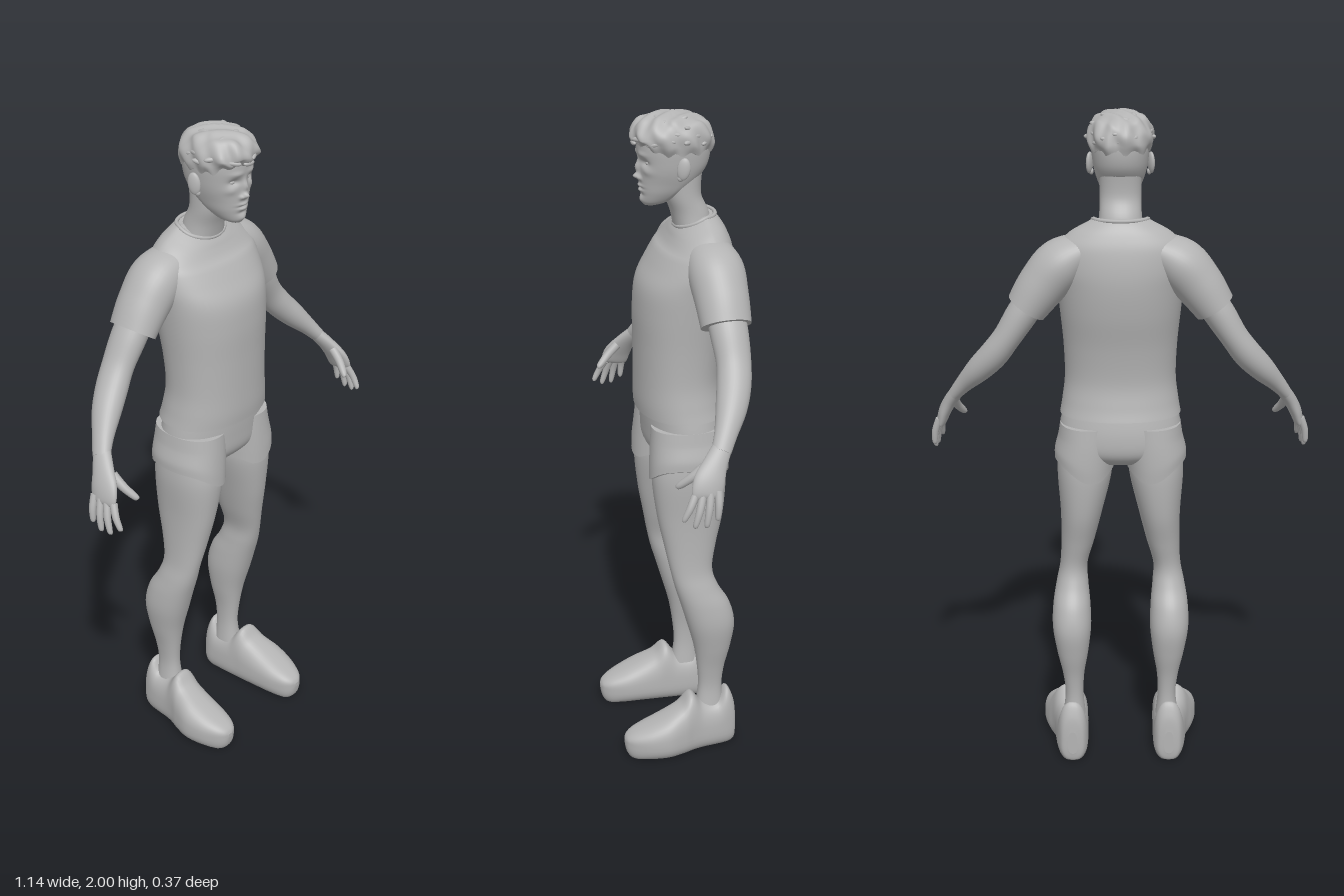
import * as THREE from 'three';

const V = (x, y, z) => new THREE.Vector3(x, y, z);
const UP = V(0, 1, 0), DOWN = V(0, -1, 0), FRONT = V(0, 0, 1);
const grey = new THREE.MeshStandardMaterial({ color: 0xb4b4b4 });
grey.name = 'plain grey';

function add(group, name, geometry) {
  const mesh = new THREE.Mesh(geometry, grey);
  mesh.name = name;
  group.add(mesh);
  return mesh;
}

// Smooth interpolation of whole section rows
function blend(rows, i, t) {
  const at = k => rows[Math.min(rows.length - 1, Math.max(0, k))];
  const [a, b, c, d] = [at(i - 1), at(i), at(i + 1), at(i + 2)];
  return b.map((_, k) => b[k] + 0.5 * t * (c[k] - a[k] + t * (2 * a[k] - 5 * b[k] + 4 * c[k] - d[k]
    + t * (3 * (b[k] - c[k]) + d[k] - a[k]))));
}

// Closed loft. Row: [x, y, z, half width, extent along B, extent against B, roundness]
function loft(rows, { s = 1, T = null, B = FRONT, seg = 32, sub = 6, deform = null } = {}) {
  const list = [];
  for (let i = 0; i < rows.length - 1; i++)
    for (let k = 0; k < sub; k++) list.push(blend(rows, i, k / sub));
  list.push(rows[rows.length - 1]);
  const centre = list.map(r => V(s * r[0], r[1], r[2]));
  const pos = [], index = [];
  const ring = (i, size) => {
    const t = T || centre[Math.min(i + 1, list.length - 1)].clone().sub(centre[Math.max(i - 1, 0)]).normalize();
    const b = B.clone().addScaledVector(t, -B.dot(t)).normalize();
    const a = b.clone().cross(t);
    const [, , , w, f, r, n = 2] = list[i];
    for (let j = 0; j < seg; j++) {
      const u = j / seg * Math.PI * 2, c = Math.cos(u), d = Math.sin(u);
      const round = v => Math.sign(v) * Math.pow(Math.abs(v), 2 / n);
      const p = centre[i].clone().addScaledVector(a, size * w * round(c))
        .addScaledVector(b, size * (d > 0 ? f : r) * round(d));
      if (deform) deform(p);
      pos.push(p.x, p.y, p.z);
    }
  };
  ring(0, 0);
  ring(0, 1);
  list.forEach((_, i) => ring(i, 1));
  ring(list.length - 1, 1);
  ring(list.length - 1, 0);
  for (let i = 0; i < list.length + 3; i++)
    for (let j = 0; j < seg; j++) {
      const p = i * seg + j, q = i * seg + (j + 1) % seg;
      index.push(p, q, p + seg, q, q + seg, p + seg);
    }
  const g = new THREE.BufferGeometry();
  g.setAttribute('position', new THREE.Float32BufferAttribute(pos, 3));
  g.setIndex(index);
  g.computeVertexNormals();
  return g;
}

// Horizontal row from front and back z limits
const level = (x, y, w, zf, zb, n = 2.2, zc = (zf + zb) / 2) => [x, y, zc, w, zf - zc, zc - zb, n];

function ball(group, name, p, scale) {
  const m = add(group, name, new THREE.SphereGeometry(1, 20, 14));
  m.position.set(...p);
  m.scale.set(...scale);
  return m;
}

export function createModel() {
  const model = new THREE.Group();
  model.name = 'standingMan';

  // Shirt body, with the neckline dipping at the front
  const dip = p => {
    if (p.y > 1.6) p.y -= Math.max(0, p.z + 0.09) * 0.5 * (p.y - 1.6) / 0.1;
  };
  add(model, 'shirt', loft([
    level(0, 1.11, 0.18, 0.097, -0.165), level(0, 1.15, 0.173, 0.1, -0.155),
    level(0, 1.22, 0.165, 0.1, -0.145), level(0, 1.32, 0.168, 0.1, -0.155),
    level(0, 1.42, 0.177, 0.1, -0.175), level(0, 1.5, 0.185, 0.09, -0.185),
    level(0, 1.56, 0.192, 0.057, -0.185), level(0, 1.62, 0.185, 0.018, -0.176),
    level(0, 1.66, 0.15, 0, -0.162), level(0, 1.685, 0.11, -0.01, -0.148),
    level(0, 1.7, 0.082, -0.02, -0.135)], { T: UP, seg: 64, deform: dip }));
  const collar = [];
  for (let i = 0; i < 24; i++) {
    const u = i / 24 * Math.PI * 2;
    const p = V(0.08 * Math.cos(u), 1.7, -0.078 + 0.058 * Math.sin(u));
    dip(p);
    collar.push(p);
  }
  add(model, 'collar', new THREE.TubeGeometry(new THREE.CatmullRomCurve3(collar, true), 64, 0.006, 8, true));

  // Shorts seat
  add(model, 'shortsSeat', loft([
    level(0, 1.14, 0.168, 0.08, -0.14), level(0, 1.06, 0.182, 0.077, -0.155),
    level(0, 1.0, 0.18, 0.07, -0.152), level(0, 0.965, 0.12, 0.04, -0.12),
    level(0, 0.955, 0.06, 0.01, -0.08)], { T: DOWN, seg: 48 }));

  // Neck
  add(model, 'neck', loft([
    level(0, 1.62, 0.075, -0.025, -0.13), level(0, 1.7, 0.062, -0.01, -0.12),
    level(0, 1.76, 0.06, 0.01, -0.095), level(0, 1.84, 0.062, 0.02, -0.1)], { T: UP }));

  // Head with face modelled by soft bumps: [x, y, width, height, depth]
  const bumps = [
    [0, 1.842, 0.008, 0.018, 0.012], [0, 1.816, 0.009, 0.009, 0.018], [0.013, 1.812, 0.006, 0.006, 0.007],
    [0.032, 1.859, 0.016, 0.01, -0.011], [0.03, 1.883, 0.02, 0.007, 0.004], [0.045, 1.835, 0.014, 0.011, 0.004],
    [0, 1.79, 0.018, 0.004, 0.006], [0, 1.776, 0.015, 0.004, 0.006], [0, 1.783, 0.02, 0.002, -0.004],
    [0, 1.764, 0.018, 0.005, -0.004], [0, 1.748, 0.015, 0.008, 0.004]];
  const face = p => {
    if (p.z < 0.015) return;
    const fade = Math.min(1, (p.z - 0.015) / 0.03);
    let d = 0;
    for (const [x, y, w, h, k] of bumps)
      d += k * Math.exp(-(((Math.abs(p.x) - x) / w) ** 2) - ((p.y - y) / h) ** 2);
    p.z += d * fade;
  };
  add(model, 'head', loft([
    level(0, 1.732, 0.018, 0.07, 0.03, 2, 0.05), level(0, 1.743, 0.036, 0.078, 0, 2.1, 0.03),
    level(0, 1.77, 0.055, 0.081, -0.035, 2.2, 0.005), level(0, 1.8, 0.067, 0.083, -0.078, 2.2, -0.01),
    level(0, 1.83, 0.076, 0.084, -0.105, 2.2, -0.01), level(0, 1.86, 0.081, 0.086, -0.118, 2.2, -0.01),
    level(0, 1.9, 0.084, 0.09, -0.122, 2.2, -0.01), level(0, 1.94, 0.08, 0.085, -0.115, 2.2, -0.01),
    level(0, 1.97, 0.055, 0.055, -0.08, 2, -0.01)], { T: UP, seg: 128, sub: 10, deform: face }));

  // Tousled hair: lumpy cap plus loose locks
  const lumps = p => {
    const a = Math.atan2(p.x, p.z);
    const low = THREE.MathUtils.clamp((1.93 - p.y) / 0.045, 0, 1);
    const k = 1 + 0.03 * Math.sin(a * 9 + p.y * 70) + 0.025 * Math.sin(p.x * 130 + p.z * 75);
    p.x *= k;
    p.z = -0.01 + (p.z + 0.01) * k;
    p.y += low * (0.006 * Math.sin(a * 13) + 0.022 * THREE.MathUtils.smoothstep(p.z, 0.03, 0.08))
      + (1 - low) * 0.003 * Math.sin(p.x * 110 - p.z * 90);
  };
  add(model, 'hair', loft([
    level(0, 1.887, 0.086, 0.092, -0.122), level(0, 1.91, 0.093, 0.103, -0.129),
    level(0, 1.94, 0.092, 0.106, -0.126), level(0, 1.97, 0.076, 0.086, -0.105),
    level(0, 1.987, 0.048, 0.052, -0.065), level(0, 1.994, 0.008, 0.01, -0.025)],
  { T: UP, seg: 96, sub: 8, deform: lumps }));
  let seed = 7;
  const rand = () => (seed = (seed * 16807) % 2147483647) / 2147483647;
  for (let i = 0; i < 44; i++) {
    const a = i * 2.4, h = 0.1 + 0.85 * i / 44, r = Math.sqrt(1 - h * h * 0.95);
    const lock = ball(model, 'hairLock', [0.09 * r * Math.sin(a), 1.905 + 0.083 * h, -0.01 + 0.11 * r * Math.cos(a)],
      [0.009, 0.008, 0.02 + 0.008 * rand()]);
    lock.rotation.set(rand() - 0.5, a + 1.2 + rand(), 0);
  }

  for (const s of [1, -1]) {
    const side = new THREE.Group();
    side.name = s > 0 ? 'leftSide' : 'rightSide';
    model.add(side);

    // Eye and ear
    ball(side, 'eye', [s * 0.031, 1.858, 0.062], [0.012, 0.008, 0.011]);
    const ear = ball(side, 'ear', [s * 0.088, 1.848, -0.022], [0.009, 0.032, 0.019]);
    ear.rotation.set(-0.15, s * -0.35, 0);
    ball(side, 'earLobe', [s * 0.083, 1.822, -0.014], [0.007, 0.01, 0.009]);

    // Sleeve
    add(side, 'sleeve', loft([
      [0.08, 1.625, -0.085, 0.04, 0.06, 0.065], [0.165, 1.575, -0.09, 0.073, 0.078, 0.085],
      [0.225, 1.51, -0.095, 0.071, 0.078, 0.078], [0.272, 1.443, -0.095, 0.061, 0.073, 0.073]], { s, seg: 40 }));

    // Arm
    add(side, 'arm', loft([
      [0.24, 1.49, -0.097, 0.045, 0.055, 0.055], [0.285, 1.425, -0.1, 0.046, 0.055, 0.055],
      [0.33, 1.355, -0.1, 0.041, 0.05, 0.05], [0.37, 1.3, -0.09, 0.042, 0.05, 0.048],
      [0.415, 1.25, -0.068, 0.038, 0.044, 0.044], [0.46, 1.2, -0.04, 0.027, 0.033, 0.033],
      [0.492, 1.16, -0.017, 0.02, 0.028, 0.028]], { s }));

    // Hand
    add(side, 'palm', loft([
      [0.48, 1.175, -0.027, 0.02, 0.027, 0.027], [0.507, 1.135, 0.002, 0.02, 0.035, 0.033],
      [0.528, 1.095, 0.024, 0.019, 0.046, 0.042], [0.54, 1.06, 0.035, 0.015, 0.045, 0.042],
      [0.543, 1.048, 0.037, 0.006, 0.035, 0.034]], { s }));
    const fingers = [
      [0.536, 1.06, 0.068, 0.546, 0.988, 0.106], [0.541, 1.06, 0.048, 0.558, 0.97, 0.076],
      [0.544, 1.065, 0.027, 0.562, 0.97, 0.044], [0.546, 1.07, 0.005, 0.562, 0.988, 0.012],
      [0.502, 1.125, 0.035, 0.474, 1.06, 0.106]];
    fingers.forEach(([x, y, z, u, v, w], i) => {
      const r = i === 4 ? 0.013 : 0.0105;
      const at = (t, k, bow) => [x + (u - x) * t + bow, y + (v - y) * t, z + (w - z) * t, r * k, r * k, r * k];
      add(side, i === 4 ? 'thumb' : 'finger', loft(
        [at(0, 1.1, 0), at(0.45, 1, 0.006), at(0.85, 0.8, 0.003), at(0.97, 0.5, 0), at(1, 0.1, 0)],
        { s, seg: 14, sub: 4 }));
    });

    // Leg of the shorts, hem rising toward the outside
    add(side, 'shortsLeg', loft([
      level(0.095, 1.08, 0.085, 0.075, -0.15), level(0.1, 1.02, 0.089, 0.08, -0.155),
      level(0.106, 0.96, 0.091, 0.084, -0.157), level(0.108, 0.915, 0.09, 0.085, -0.155)], {
      s, T: DOWN, seg: 40,
      deform: p => {
        const low = THREE.MathUtils.clamp((1.04 - p.y) / 0.12, 0, 1), x = Math.abs(p.x);
        p.y += low * (0.055 * THREE.MathUtils.smoothstep(x, 0.09, 0.2) + 0.03 * (1 - THREE.MathUtils.smoothstep(x, 0.015, 0.07)));
      },
    }));

    // Leg
    add(side, 'leg', loft([
      level(0.105, 1.0, 0.08, 0.065, -0.14), level(0.108, 0.92, 0.082, 0.077, -0.148),
      level(0.118, 0.8, 0.064, 0.065, -0.138), level(0.13, 0.7, 0.051, 0.046, -0.114),
      level(0.143, 0.62, 0.042, 0.03, -0.1), level(0.148, 0.56, 0.049, 0.016, -0.118),
      level(0.15, 0.5, 0.057, -0.002, -0.153), level(0.15, 0.43, 0.059, -0.022, -0.17),
      level(0.148, 0.35, 0.048, -0.044, -0.16), level(0.146, 0.27, 0.033, -0.056, -0.142),
      level(0.144, 0.2, 0.028, -0.06, -0.135), level(0.145, 0.13, 0.035, -0.05, -0.14)], { s, T: DOWN, seg: 40 }));

    // Shoe, swept from heel to toe with tab and tongue peaks
    const shoe = (x, z, w, top, low = 0) => [x, 0.055, z, w, top - 0.055, 0.065 - low, 2.6];
    add(side, 'shoe', loft([
      shoe(0.15, -0.176, 0.015, 0.1, 0.035), shoe(0.15, -0.17, 0.034, 0.15, 0.01),
      shoe(0.15, -0.148, 0.045, 0.192), shoe(0.152, -0.115, 0.05, 0.15), shoe(0.155, -0.065, 0.053, 0.155),
      shoe(0.16, -0.03, 0.057, 0.193), shoe(0.167, 0.005, 0.064, 0.16), shoe(0.174, 0.055, 0.069, 0.133),
      shoe(0.173, 0.11, 0.062, 0.108), shoe(0.17, 0.155, 0.045, 0.088), shoe(0.169, 0.178, 0.026, 0.073, 0.02),
      shoe(0.169, 0.186, 0.008, 0.06, 0.055)], {
      s, T: FRONT, B: UP, seg: 40,
      deform: p => { p.y = Math.max(p.y, 0); },
    }));
  }
  return model;
}
